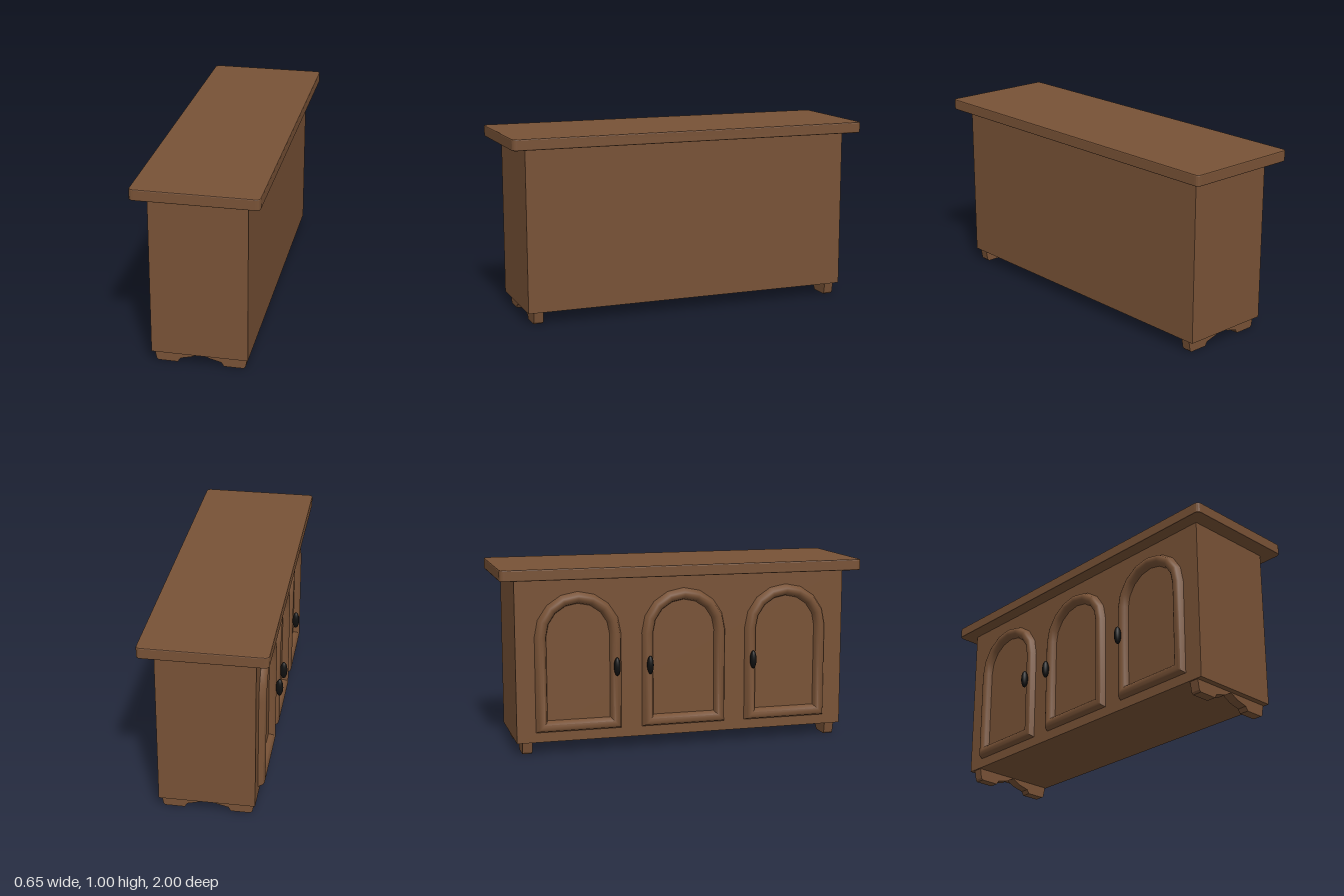
import * as THREE from 'three';
import { toCreasedNormals } from 'three/addons/utils/BufferGeometryUtils.js';

const wood = new THREE.MeshStandardMaterial({ color: 0x785236 });
wood.name = 'brown wood';
const iron = new THREE.MeshStandardMaterial({ color: 0x101010 });
iron.name = 'black iron';

function add(parent, name, geometry, material, x = 0, y = 0, z = 0) {
  const mesh = new THREE.Mesh(geometry, material);
  mesh.name = name;
  mesh.position.set(x, y, z);
  parent.add(mesh);
  return mesh;
}

// Worktop: rounded rectangle with a small bevel all round
function topGeometry() {
  const b = 0.006, w = 0.325 - b, l = 1 - b, r = 0.02;
  const s = new THREE.Shape();
  s.moveTo(-w + r, -l);
  s.lineTo(w - r, -l);
  s.quadraticCurveTo(w, -l, w, -l + r);
  s.lineTo(w, l - r);
  s.quadraticCurveTo(w, l, w - r, l);
  s.lineTo(-w + r, l);
  s.quadraticCurveTo(-w, l, -w, l - r);
  s.lineTo(-w, -l + r);
  s.quadraticCurveTo(-w, -l, -w + r, -l);
  const g = new THREE.ExtrudeGeometry(s, {
    depth: 0.06 - 2 * b, bevelThickness: b, bevelSize: b, bevelSegments: 2, curveSegments: 4,
  });
  return g.rotateX(-Math.PI / 2);
}

// Scalloped foot rail, mirrored about its middle
function footGeometry() {
  const half = [[0.245, 0.066], [0.235, 0.01], [0.225, 0], [0.122, 0], [0.108, 0.022], [0.045, 0.038]];
  const pts = [
    ...half.map(([x, y]) => new THREE.Vector2(-x, y)),
    new THREE.Vector2(0, 0.064),
    ...half.slice().reverse().map(([x, y]) => new THREE.Vector2(x, y)),
  ];
  return new THREE.ExtrudeGeometry(new THREE.Shape(pts), { depth: 0.052, bevelEnabled: false });
}

// Arched door moulding: a half-round section carried round an arch outline
function mouldingGeometry() {
  const section = [[0, 0], [0.012, 0.03], [0.022, 0.036], [0.034, 0.038], [0.046, 0.034], [0.057, 0.024], [0.065, 0]];
  const halfWidth = 0.235, bottom = 0.117, spring = 0.635, arcSteps = 8;
  const rings = arcSteps + 3, n = section.length;
  const pos = [], index = [];
  for (let i = 0; i < rings; i++) {
    for (const [inset, depth] of section) {
      const r = halfWidth - inset;
      if (i === 0 || i === rings - 1) {
        pos.push(-depth, bottom + inset, i === 0 ? -r : r);
      } else {
        const a = Math.PI * (1 - (i - 1) / arcSteps);
        pos.push(-depth, spring + r * Math.sin(a), r * Math.cos(a));
      }
    }
  }
  for (let i = 0; i < rings; i++) {
    const p = i * n, q = ((i + 1) % rings) * n;
    for (let j = 0; j < n - 1; j++) {
      index.push(p + j, p + j + 1, q + j, p + j + 1, q + j + 1, q + j);
    }
  }
  const g = new THREE.BufferGeometry();
  g.setAttribute('position', new THREE.Float32BufferAttribute(pos, 3));
  g.setIndex(index);
  return toCreasedNormals(g, 0.9);
}

export function createModel() {
  const model = new THREE.Group();
  model.name = 'sideboard';

  add(model, 'cabinet', new THREE.BoxGeometry(0.505, 0.877, 1.836), wood, 0, 0.5035, 0);
  add(model, 'worktop', topGeometry(), wood, 0, 0.946, 0);

  const foot = footGeometry();
  add(model, 'frontFoot', foot, wood, 0, 0, 0.835);
  add(model, 'backFoot', foot, wood, 0, 0, -0.887);

  // Three arched doors, each with a pull on one stile
  const moulding = mouldingGeometry();
  const pull = new THREE.SphereGeometry(1, 16, 12).scale(0.02, 0.05, 0.018);
  [[-0.582, 0.2], [0, -0.2], [0.582, -0.2]].forEach(([z, side], i) => {
    const door = new THREE.Group();
    door.name = 'door' + (i + 1);
    door.position.z = z;
    add(door, 'archMoulding', moulding, wood, -0.25);
    add(door, 'pull', pull, iron, -0.305, 0.465, side);
    model.add(door);
  });

  return model;
}
